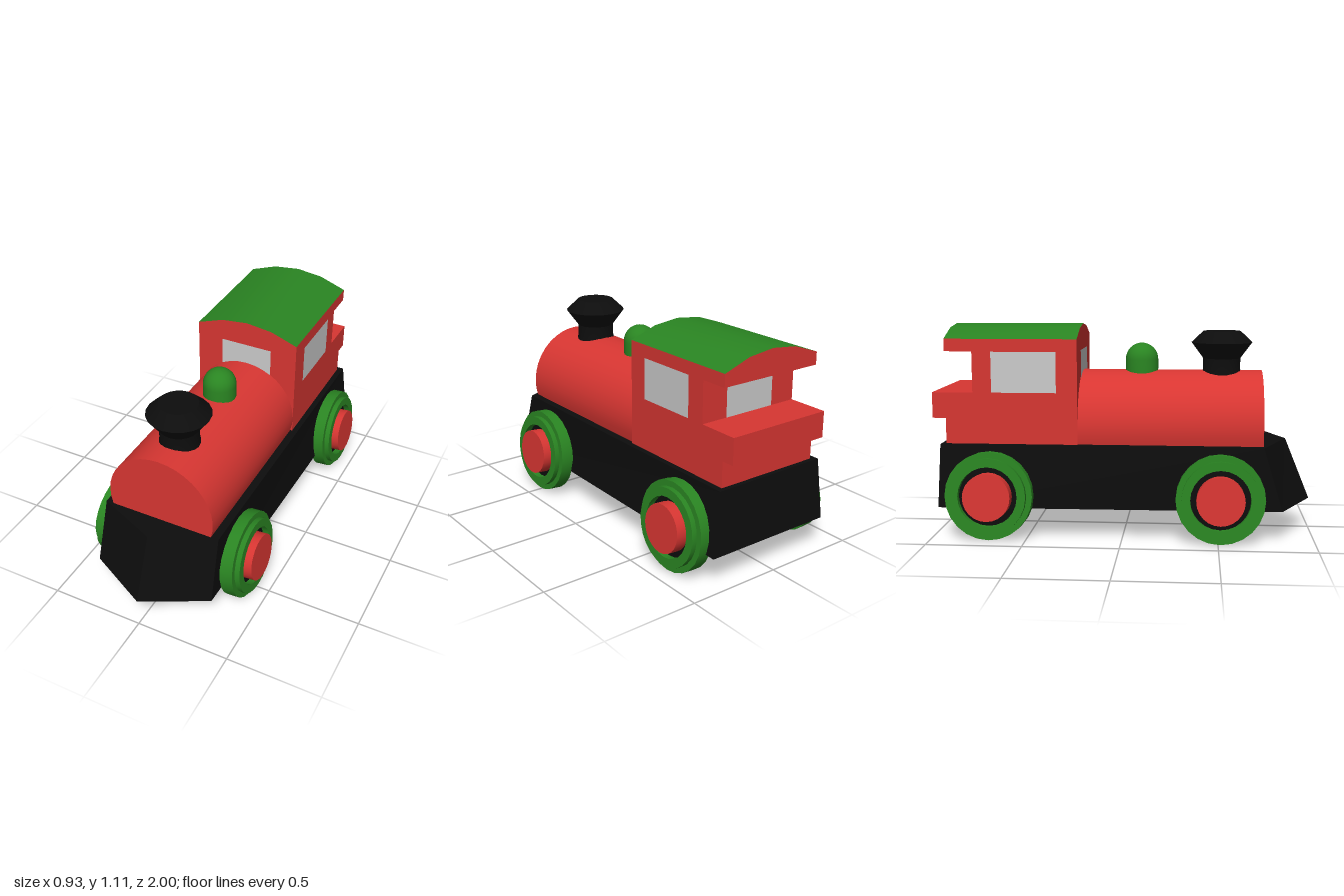
import * as THREE from 'three';
import { toCreasedNormals } from 'three/addons/utils/BufferGeometryUtils.js';

const paint = (color) => new THREE.MeshStandardMaterial({ color });
const RED = paint(0xd83632), GREEN = paint(0x2a8522), BLACK = paint(0x0d0d0d), GREY = paint(0xcccccc);
const V2 = (p) => new THREE.Vector2(p[0], p[1]);

function part(parent, name, geometry, material) {
  const mesh = new THREE.Mesh(geometry, material);
  mesh.name = name;
  parent.add(mesh);
  return mesh;
}

const lathe = (points, segments) =>
  toCreasedNormals(new THREE.LatheGeometry(points.map(V2), segments), 0.6);

const extrude = (points, depth) =>
  toCreasedNormals(new THREE.ExtrudeGeometry(new THREE.Shape(points.map(V2)), { depth, bevelEnabled: false }), 0.6);

// Tapered solid between a lower and an upper outline of [x, z] points
function loft(lower, upper, y0, y1) {
  const n = lower.length, pos = [], index = [];
  lower.forEach(([x, z]) => pos.push(x, y0, z));
  upper.forEach(([x, z]) => pos.push(x, y1, z));
  for (let i = 0; i < n; i++) {
    const j = (i + 1) % n;
    index.push(i, j, n + j, i, n + j, n + i);
    if (i > 0 && i < n - 1) index.push(0, i + 1, i, n, n + i, n + i + 1);
  }
  const g = new THREE.BufferGeometry();
  g.setAttribute('position', new THREE.Float32BufferAttribute(pos, 3));
  g.setIndex(index);
  const flat = g.toNonIndexed();
  flat.computeVertexNormals();
  return flat;
}

// Stepped wheel with a recessed dark ring and a raised hub; the axle points to +x
function wheel(name) {
  const g = new THREE.Group();
  g.name = name;
  const turn = (points) => lathe(points, 24).rotateZ(-Math.PI / 2);
  part(g, 'wheelRim', turn([[0, 0], [0.23, 0], [0.23, 0.07], [0.2, 0.07], [0.2, 0.097],
    [0.155, 0.097], [0.155, 0.06], [0, 0.06]]), GREEN);
  part(g, 'wheelRecess', turn([[0.155, 0.062], [0, 0.066]]), BLACK);
  part(g, 'wheelHub', turn([[0.124, 0.06], [0.124, 0.126], [0, 0.126]]), RED);
  return g;
}

export function createModel() {
  const model = new THREE.Group();
  model.name = 'toyLocomotive';

  // Chassis with a pointed, sloping nose; order runs counter-clockwise from outside
  part(model, 'chassis', loft(
    [[0.36, -0.965], [-0.36, -0.965], [-0.33, 0.83], [0, 1], [0.33, 0.83]],
    [[0.32, -0.955], [-0.32, -0.955], [-0.32, 0.73], [0, 0.865], [0.32, 0.73]],
    0.165, 0.495), BLACK);

  // Boiler: round on top, cut flat at the chassis
  const arc = [], start = -0.28;
  for (let i = 0; i <= 22; i++) {
    const a = start + (Math.PI - 2 * start) * i / 22;
    arc.push([0.29 * Math.cos(a), 0.575 + 0.29 * Math.sin(a)]);
  }
  part(model, 'boiler', extrude(arc, 0.965).translate(0, 0, -0.235), RED);

  // Chimney and steam dome
  part(model, 'chimney', lathe([[0.108, 0.835], [0.1, 0.87], [0.1, 0.93], [0.163, 1.015],
    [0.1, 1.075], [0, 1.078]], 20), BLACK).position.z = 0.515;
  const dome = [[0.088, 0.83]];
  for (let i = 0; i <= 8; i++) {
    const a = i / 8 * Math.PI / 2;
    dome.push([0.088 * Math.cos(a), 0.922 + 0.088 * Math.sin(a)]);
  }
  part(model, 'steamDome', lathe(dome, 20), GREEN).position.z = 0.085;

  // Cab: side profile of [z, y] with rear opening and ledge
  const cab = [[-0.235, 0.495], [-0.235, 1.045], [-0.93, 1.045], [-0.93, 0.98], [-0.785, 0.98],
    [-0.785, 0.765], [-1, 0.765], [-1, 0.63], [-0.93, 0.63], [-0.93, 0.495]];
  part(model, 'cab', extrude(cab, 0.58).rotateY(-Math.PI / 2).translate(0.29, 0, 0), RED);

  // Curved roof: red gables, green top
  const roof = [[-0.29, 1.045], [0.29, 1.045], [0.145, 1.096], [0, 1.113], [-0.145, 1.096]];
  part(model, 'roof', extrude(roof, 0.695).translate(0, 0, -0.93), [RED, GREEN]);

  // Windows: front, rear and both sides
  const window = (name, width, x, z, turn) => {
    const pane = part(model, name, new THREE.PlaneGeometry(width, 0.213), GREY);
    pane.position.set(x, 0.8725, z);
    pane.rotation.y = turn;
  };
  window('frontWindow', 0.29, 0, -0.232, 0);
  window('rearWindow', 0.29, 0, -0.788, Math.PI);
  window('leftWindow', 0.34, 0.293, -0.515, Math.PI / 2);
  window('rightWindow', 0.34, -0.293, -0.515, -Math.PI / 2);

  // Wheels, splayed outwards at the bottom
  for (const [end, z] of [['front', 0.51], ['rear', -0.69]]) {
    for (const [side, s] of [['Left', 1], ['Right', -1]]) {
      const w = wheel(end + side + 'Wheel');
      w.position.set(s * 0.33, 0.232, z);
      w.rotation.set(0, s > 0 ? 0 : Math.PI, 0.077);
      model.add(w);
    }
  }
  return model;
}
